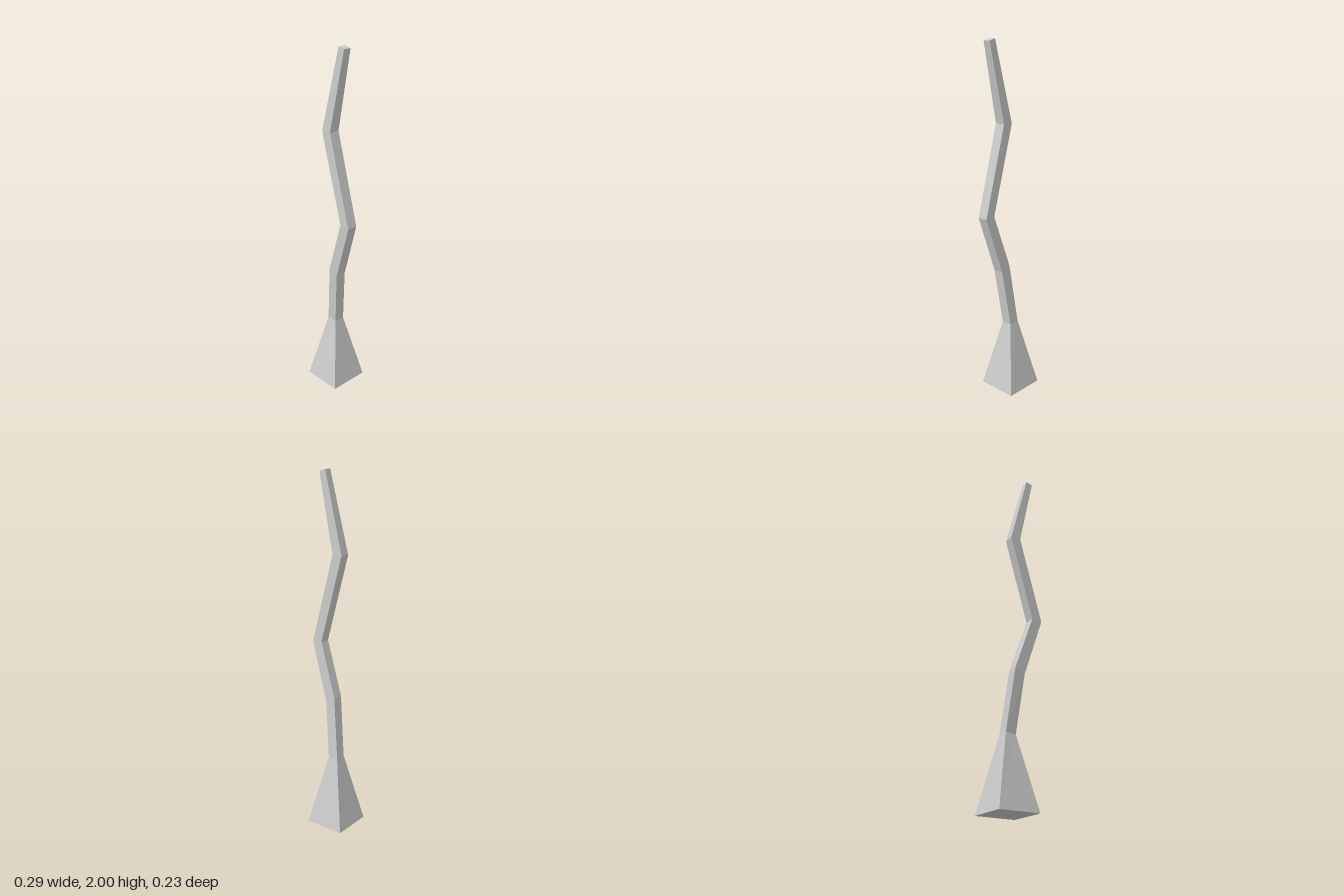
import * as THREE from 'three';

// Rectangular cross-sections from foot to tip:
// [left x, y at left x, right x, y at right x, back z, front z]
const SECTIONS = [
  [-0.147, 0, 0.086, 0, -0.118, 0.115],
  [-0.06, 0.405, 0, 0.4, -0.032, 0.03],
  [-0.019, 0.755, 0.04, 0.73, -0.005, 0.057],
  [0.085, 1.065, 0.145, 1.06, 0.011, 0.071],
  [-0.053, 1.557, 0.007, 1.56, 0.011, 0.071],
  [0.062, 2, 0.101, 1.99, 0.02, 0.063],
];

// Four corners of a section, counterclockwise seen from above
function corners([x0, y0, x1, y1, z0, z1]) {
  return [[x0, y0, z1], [x1, y1, z1], [x1, y1, z0], [x0, y0, z0]];
}

// Joins the sections with flat quads and closes both ends
function loft(sections) {
  const rings = sections.map(corners);
  const positions = [];
  const quad = (a, b, c, d) => positions.push(...a, ...b, ...c, ...a, ...c, ...d);
  for (let s = 0; s < rings.length - 1; s++) {
    const low = rings[s], high = rings[s + 1];
    for (let i = 0; i < 4; i++) {
      const j = (i + 1) % 4;
      quad(low[i], low[j], high[j], high[i]);
    }
  }
  quad(...rings[rings.length - 1]);
  quad(...[...rings[0]].reverse());

  const geometry = new THREE.BufferGeometry();
  geometry.setAttribute('position', new THREE.Float32BufferAttribute(positions, 3));
  geometry.computeVertexNormals();
  return geometry;
}

export function createModel() {
  const group = new THREE.Group();
  group.name = 'crookedTrunk';

  // Flared foot and crooked tapering stem in one continuous skin
  const material = new THREE.MeshStandardMaterial({ color: 0xcccccc, flatShading: true });
  const trunk = new THREE.Mesh(loft(SECTIONS), material);
  trunk.name = 'trunk';
  group.add(trunk);

  return group;
}
